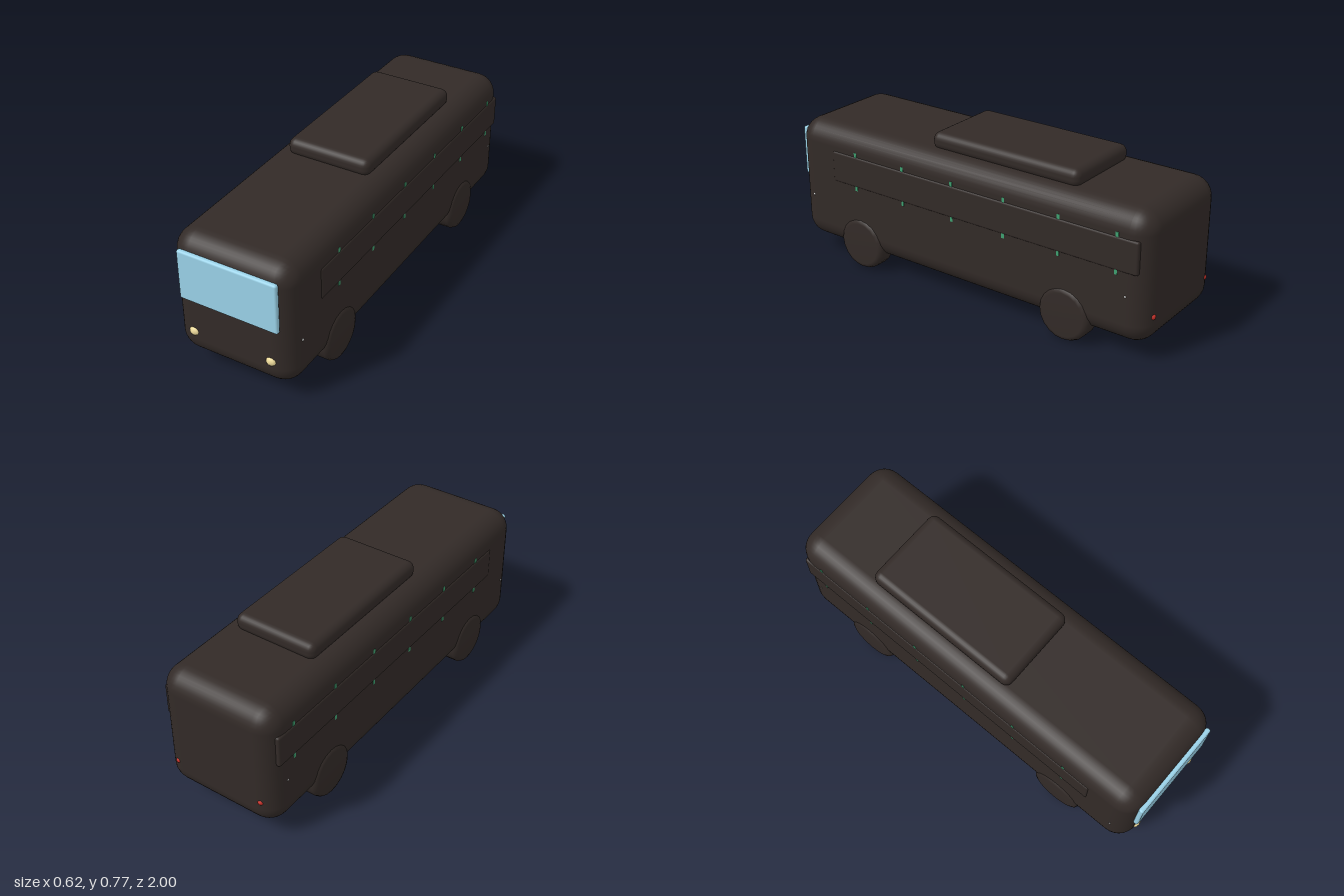
import * as THREE from 'three';
import { RoundedBoxGeometry } from 'three/addons/geometries/RoundedBoxGeometry.js';

const mat = (color) => new THREE.MeshStandardMaterial({ color });

export function createModel() {
  const bus = new THREE.Group();
  bus.name = 'bus';
  const dark = mat(0x322a27);
  const glass = mat(0x9ad2e8);
  const green = mat(0x3fa070);
  const cream = mat(0xf0dc9c);
  const red = mat(0xc83028);
  const pale = mat(0xcccccc);

  const add = (name, geometry, material, x, y, z) => {
    const mesh = new THREE.Mesh(geometry, material);
    mesh.name = name;
    mesh.position.set(x, y, z);
    bus.add(mesh);
    return mesh;
  };

  // Rounded shell, roof unit and windscreen
  add('body', new RoundedBoxGeometry(0.6, 0.62, 1.985, 4, 0.1), dark, 0, 0.39, -0.0075);
  add('roofUnit', new RoundedBoxGeometry(0.42, 0.085, 0.8, 3, 0.036), dark, 0, 0.728, -0.19);
  add('windscreen', new RoundedBoxGeometry(0.49, 0.247, 0.025, 2, 0.01), glass, 0, 0.511, 0.9875);

  // Wheel: bevelled disc turned around its axle
  const wheelProfile = [
    [0, -0.054], [0.105, -0.054], [0.122, -0.047], [0.13, -0.032],
    [0.13, 0.032], [0.122, 0.047], [0.105, 0.054], [0, 0.054],
  ].map(([r, h]) => new THREE.Vector2(r, h));
  const wheelGeo = new THREE.LatheGeometry(wheelProfile, 20);
  wheelGeo.rotateZ(Math.PI / 2);

  const bandGeo = new RoundedBoxGeometry(0.03, 0.155, 1.7, 2, 0.01);
  const pillarGeo = new THREE.BoxGeometry(0.02, 0.195, 0.014);
  const markerGeo = new THREE.SphereGeometry(0.007, 8, 6);
  const headlightGeo = new THREE.SphereGeometry(0.025, 8, 6).scale(1, 0.85, 0.6);
  const tailGeo = new THREE.SphereGeometry(0.014, 8, 6);

  for (const side of [-1, 1]) {
    // Side window band with pillar ends showing above and below it
    add('windowBand', bandGeo, dark, side * 0.29, 0.503, -0.1);
    for (let i = 0; i < 6; i++) {
      add('windowPillar', pillarGeo, green, side * 0.292, 0.503, 0.605 - i * 0.29);
    }
    for (const end of [-1, 1]) {
      add('wheel', wheelGeo, dark, side * 0.254, 0.13, end * 0.59);
      add('sideMarker', markerGeo, pale, side * 0.296, 0.315, end * 0.895);
    }
    // Lamps
    add('headlight', headlightGeo, cream, side * 0.195, 0.218, 0.983);
    add('tailLight', tailGeo, red, side * 0.225, 0.22, -0.99);
  }
  return bus;
}
